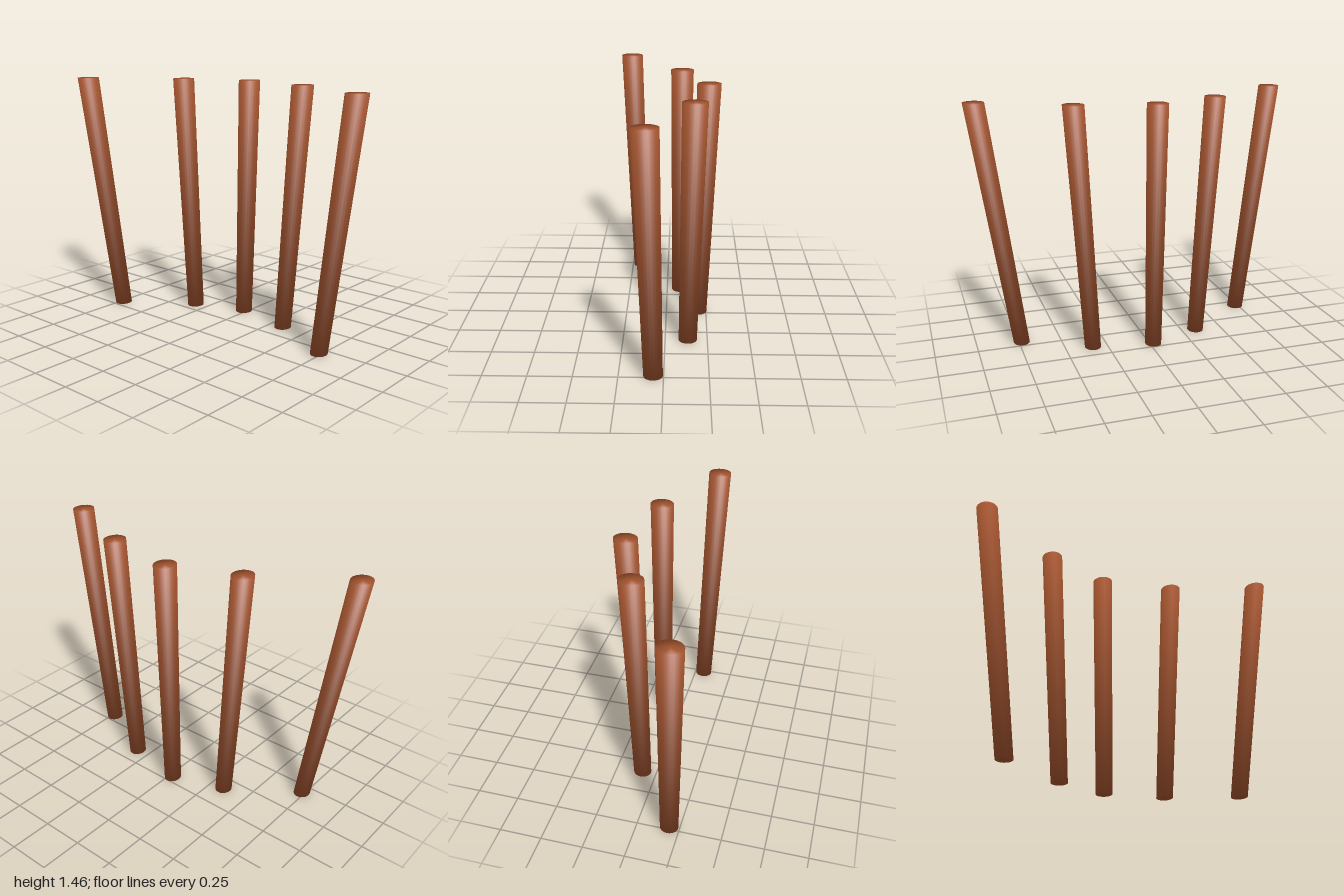
import * as THREE from 'three';

const HEIGHT = 1.46;

// Leaning tapered post: foot and top are horizontal ellipses,
// with normals blended softly over the rims.
function makePost([footX, footZ], [topX, topZ], material) {
  const geometry = new THREE.CylinderGeometry(1, 1, HEIGHT, 24);
  const pos = geometry.attributes.position;
  const normal = geometry.attributes.normal;
  const n = new THREE.Vector3();
  for (let i = 0; i < pos.count; i++) {
    const x = pos.getX(i), z = pos.getZ(i);
    const top = pos.getY(i) > 0;
    n.set(x, top ? 0.8 : -0.8, z).normalize();
    normal.setXYZ(i, n.x, n.y, n.z);
    if (top) pos.setXYZ(i, topX + x * 0.07, HEIGHT, topZ + z * 0.061);
    else pos.setXYZ(i, footX + x * 0.054, 0, footZ + z * 0.048);
  }
  return new THREE.Mesh(geometry, material);
}

export function createModel() {
  const group = new THREE.Group();
  group.name = 'postArc';
  const wood = new THREE.MeshStandardMaterial({ color: 0xa0522d });
  wood.name = 'reddish brown wood';

  // name, foot [x, z], top [x, z]
  const posts = [
    ['frontPost', [-0.058, 0.733], [-0.082, 0.938]],
    ['frontMiddlePost', [0.134, 0.337], [0.161, 0.43]],
    ['centrePost', [0.2, -0.022], [0.247, -0.027]],
    ['backMiddlePost', [0.087, -0.337], [0.092, -0.43]],
    ['backPost', [-0.188, -0.73], [-0.248, -0.938]],
  ];
  for (const [name, foot, top] of posts) {
    const post = makePost(foot, top, wood);
    post.name = name;
    group.add(post);
  }
  return group;
}
